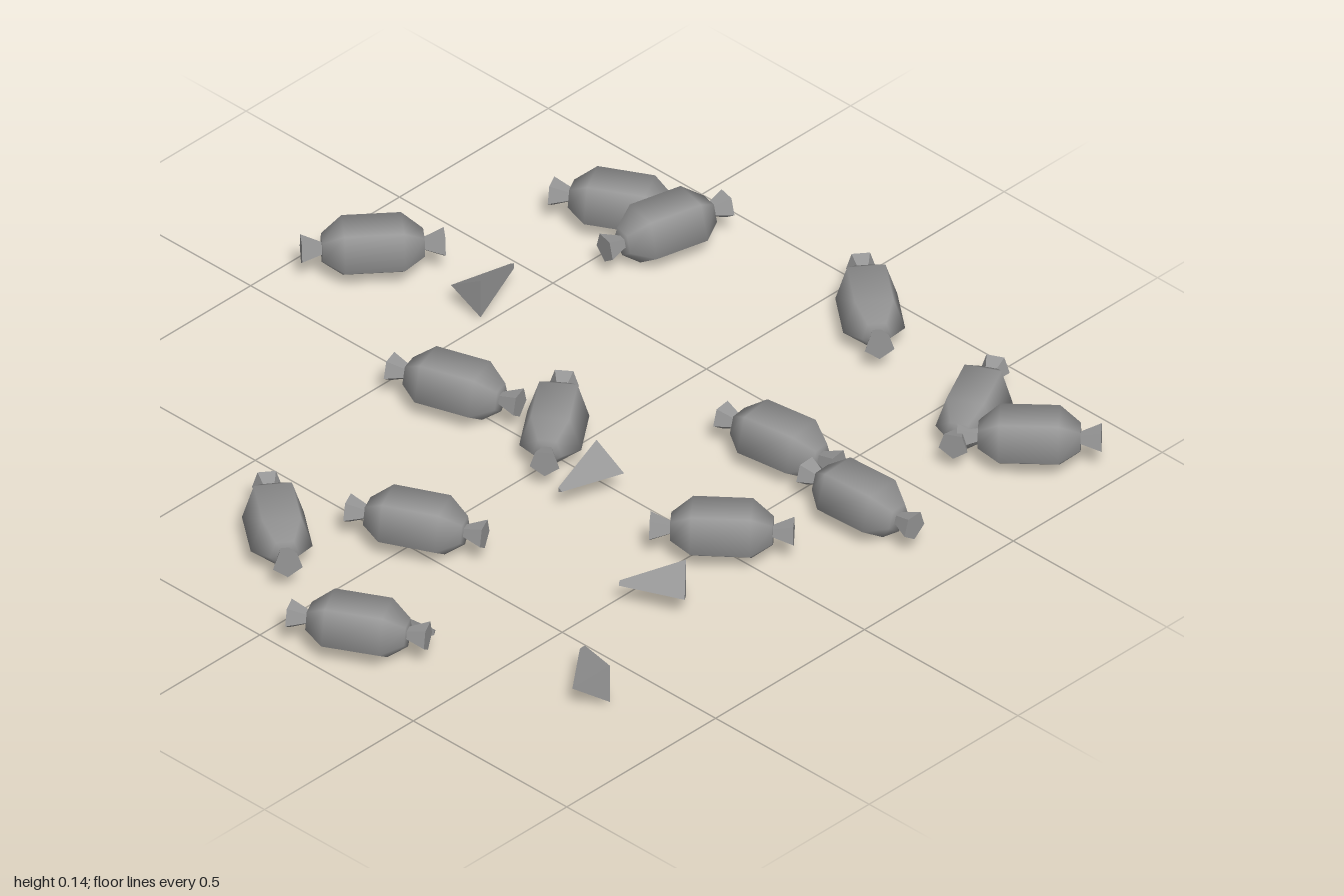
import * as THREE from 'three';

const grey = new THREE.MeshStandardMaterial({ color: 0x969696 });
grey.name = 'plain grey';

// Gives a geometry hard facets
function faceted(geometry) {
  const g = geometry.toNonIndexed();
  g.computeVertexNormals();
  return g;
}

// Five-sided wrapped body lying along x, flat side up
const profile = [[0, -0.12], [0.037, -0.12], [0.077, -0.07], [0.077, 0.07], [0.037, 0.12], [0, 0.12]]
  .map(([r, y]) => new THREE.Vector2(r, y));
const bodyGeometry = new THREE.LatheGeometry(profile, 5, Math.PI / 2).rotateZ(-Math.PI / 2);

// Flared wrapper end
const tailGeometry = faceted(new THREE.CylinderGeometry(0.037, 0.013, 0.057, 5, 1, false, Math.PI / 2))
  .rotateZ(-Math.PI / 2).translate(0.14, 0, 0);

// Three-sided tapered piece: tip along +x, one edge of the base pointing to -z
const wedgeGeometry = faceted(new THREE.CylinderGeometry(0.008, 0.06, 0.155, 3, 1, false, Math.PI))
  .rotateZ(-Math.PI / 2).translate(0.0775, 0, 0);

function wrappedCandy(x, z, dx, dz) {
  const candy = new THREE.Group();
  candy.name = 'wrappedCandy';
  const body = new THREE.Mesh(bodyGeometry, grey);
  body.name = 'candyBody';
  candy.add(body);
  for (const turn of [0, Math.PI]) {
    const tail = new THREE.Mesh(tailGeometry, grey);
    tail.name = 'wrapperEnd';
    tail.rotation.y = turn;
    candy.add(tail);
  }
  candy.position.set(x, 0.077, z);
  candy.rotation.y = Math.atan2(-dz, dx);
  return candy;
}

function wedgeCandy(x, z, dx, dz) {
  const wedge = new THREE.Mesh(wedgeGeometry, grey);
  wedge.name = 'wedgeCandy';
  wedge.position.set(x, 0.062, z);
  wedge.rotation.y = Math.atan2(-dz, dx);
  return wedge;
}

export function createModel() {
  const model = new THREE.Group();
  model.name = 'scatteredCandy';

  // Centre x, z and heading x, z of each wrapped candy
  const wrapped = [
    [-0.535, -0.765, 24, -13], [-0.395, -0.77, 15, -62], [0.17, -0.875, 48, 38],
    [0.63, -0.75, 26, 51], [0.81, -0.75, 45, -40], [0.4, -0.335, 60, -8],
    [0.7, -0.295, 60, -3], [-0.83, -0.235, 39, -45], [-0.3, 0.035, 58, -19],
    [-0.03, -0.02, 36, 49], [0.555, 0.02, 46, -39], [0.02, 0.495, 54, -26],
    [-0.21, 0.725, 47, 36], [0.215, 0.89, 52, -28],
  ];
  for (const c of wrapped) model.add(wrappedCandy(...c));

  // Base centre x, z and tip heading x, z of each wedge candy
  const wedges = [
    [-0.545, -0.27, -0.08, -1], [0.157, 0, 0, 1], [0.635, 0.225, -0.74, 0.67],
    [0.77, 0.66, -0.83, -0.55], [0.205, 0.835, 0.9, -0.42], [0.35, -0.41, 0.45, 0.89],
  ];
  for (const w of wedges) model.add(wedgeCandy(...w));
  return model;
}
